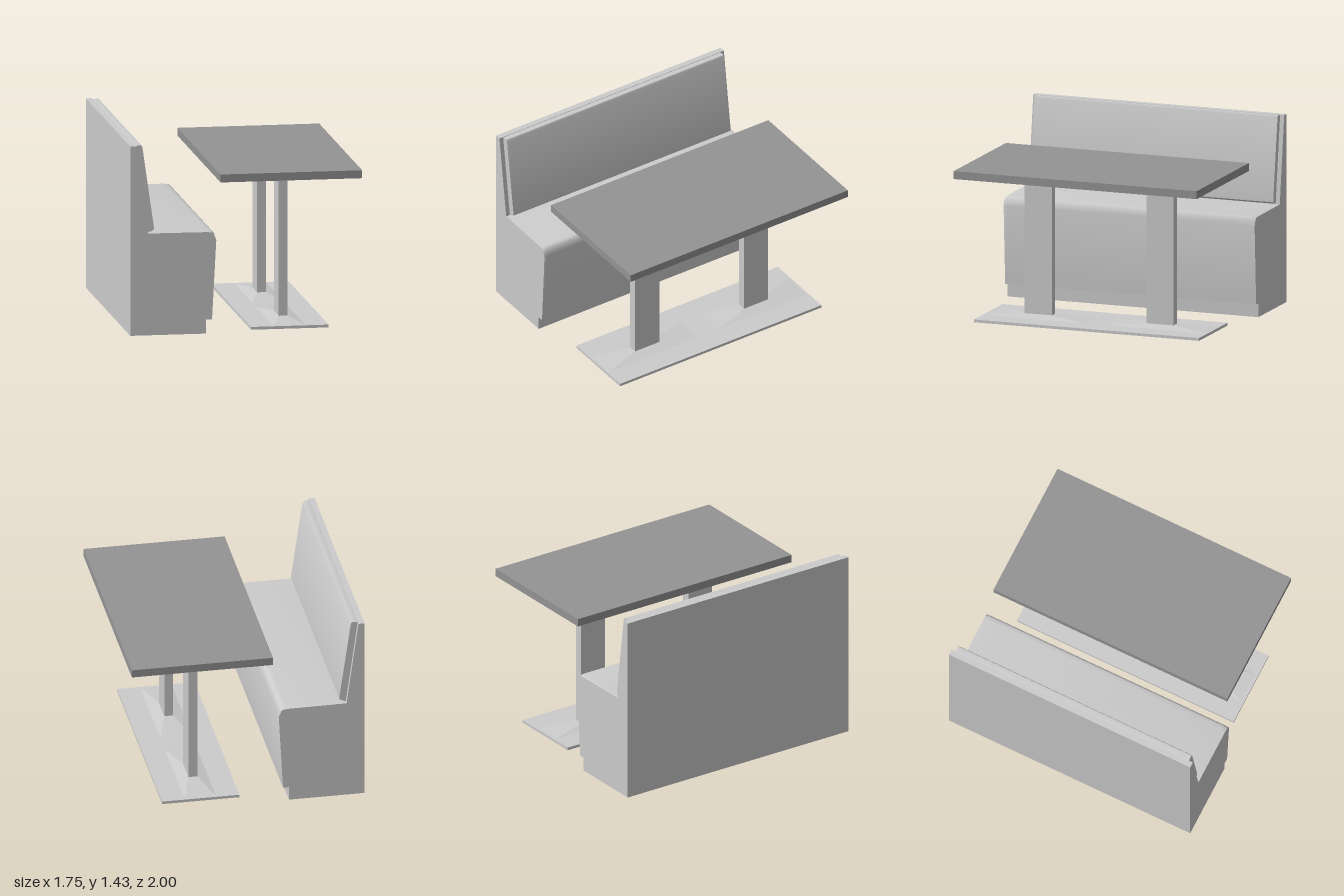
import * as THREE from 'three';
import { toCreasedNormals } from 'three/addons/utils/BufferGeometryUtils.js';

const grey = new THREE.MeshStandardMaterial({ color: 0xcccccc });
const dark = new THREE.MeshStandardMaterial({ color: 0x949494 });

function add(parent, name, geometry, material = grey) {
  const mesh = new THREE.Mesh(geometry, material);
  mesh.name = name;
  parent.add(mesh);
  return mesh;
}

// Box given by its limits on each axis
function box([x0, x1], [y0, y1], [z0, z1]) {
  return new THREE.BoxGeometry(x1 - x0, y1 - y0, z1 - z0)
    .translate((x0 + x1) / 2, (y0 + y1) / 2, (z0 + z1) / 2);
}

// Side profile swept along z; the ends can be softened by a rule
function sweep(points, half, border, soften) {
  const shape = new THREE.Shape(points.map(p => new THREE.Vector2(...p)));
  const geo = new THREE.ExtrudeGeometry(shape, { depth: 2, steps: 3, bevelEnabled: false })
    .translate(0, 0, -1);
  const pos = geo.attributes.position;
  const v = new THREE.Vector3();
  for (let i = 0; i < pos.count; i++) {
    v.fromBufferAttribute(pos, i);
    const end = Math.abs(v.z) > 0.9;
    v.z = Math.sign(v.z) * (end ? half : half - border);
    if (end) soften(v);
    pos.setXYZ(i, v.x, v.y, v.z);
  }
  return toCreasedNormals(geo, 0.6);
}

// Shallow pyramid with a flat top, under each column
function hump(x0, x1, z0, z1, top, y0, y1) {
  const geo = box([x0, x1], [y0, y1], [z0, z1]);
  const pos = geo.attributes.position;
  for (let i = 0; i < pos.count; i++) {
    if (pos.getY(i) < (y0 + y1) / 2) continue;
    pos.setX(i, pos.getX(i) < (x0 + x1) / 2 ? top[0] : top[1]);
    pos.setZ(i, pos.getZ(i) < (z0 + z1) / 2 ? top[2] : top[3]);
  }
  const flat = geo.toNonIndexed();
  flat.computeVertexNormals();
  return flat;
}

export function createModel() {
  const model = new THREE.Group();

  // Bench with recessed plinth, leaning front and rounded seat edge
  const bench = new THREE.Group();
  bench.name = 'bench';
  model.add(bench);
  add(bench, 'benchBody', sweep([
    [-0.875, 0], [-0.305, 0], [-0.305, 0.105], [-0.26, 0.105], [-0.228, 0.703],
    [-0.235, 0.73], [-0.243, 0.755], [-0.258, 0.768], [-0.29, 0.772],
    [-0.74, 0.768], [-0.83, 1.428], [-0.875, 1.428],
  ], 1, 0.03, v => {
    if (v.y > 0.71 && v.y < 0.8 && v.x > -0.7) {
      v.y -= 0.007;
      v.x -= 0.004;
    }
  }));

  // Leaning back cushion
  add(bench, 'backCushion', sweep([
    [-0.74, 0.77], [-0.705, 0.782], [-0.692, 0.79], [-0.692, 0.81], [-0.778, 1.415],
    [-0.785, 1.428], [-0.8, 1.43], [-0.83, 1.425],
  ], 0.967, 0.01, () => {}));

  // Table on two columns sharing one base plate
  const table = new THREE.Group();
  table.name = 'table';
  model.add(table);
  add(table, 'tableTop', box([-0.19, 0.875], [1.13, 1.19], [-0.97, 0.966]), dark);
  add(table, 'basePlate', box([0.05, 0.633], [0, 0.021], [-0.895, 0.9]));
  for (const z of [-0.483, 0.487]) {
    add(table, 'column', box([0.309, 0.376], [0.03, 1.124], [z - 0.108, z + 0.108]));
    add(table, 'mountingPlate', box([0.187, 0.498], [1.122, 1.131], [z - 0.24, z + 0.24]));
    add(table, 'baseHump', hump(0.22, 0.465, z - 0.41, z + 0.41,
      [0.309, 0.376, z - 0.108, z + 0.108], 0.02, 0.042));
  }
  return model;
}
